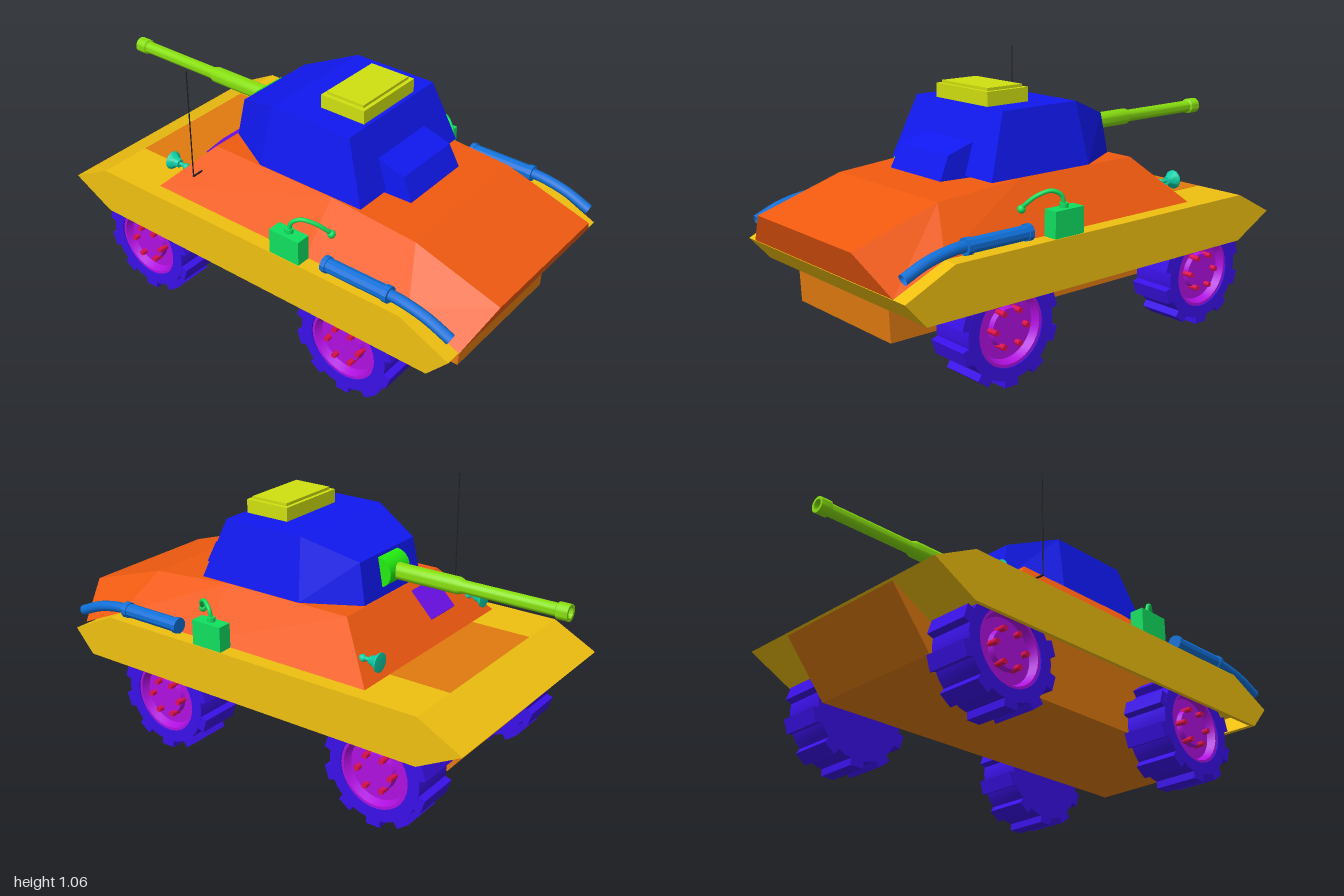
import * as THREE from 'three';
import { toCreasedNormals } from 'three/addons/utils/BufferGeometryUtils.js';

const mat = (color) => new THREE.MeshStandardMaterial({ color });
const M = {
  deck: mat(0xf0c010), hull: mat(0xf05a10), chassis: mat(0xe07a10), turret: mat(0x1018f0),
  gun: mat(0x88e010), mantlet: mat(0x22ee11), hatch: mat(0xd0e010), tyre: mat(0x3a10e8),
  hub: mat(0xb010e0), bolt: mat(0xe01050), exhaust: mat(0x1070d8), box: mat(0x10e060),
  lamp: mat(0x10d0a8), plate: mat(0x7010f0), antenna: mat(0x222222),
};
const V = (x, y, z) => new THREE.Vector3(x, y, z);

function add(parent, name, geo, material, x = 0, y = 0, z = 0) {
  const mesh = new THREE.Mesh(geo, material);
  mesh.name = name;
  mesh.position.set(x, y, z);
  parent.add(mesh);
  return mesh;
}

// Side profile of [z, y] points, extruded symmetrically across x
function extrudeX(points, width) {
  const shape = new THREE.Shape(points.map(([z, y]) => new THREE.Vector2(z, y)));
  return new THREE.ExtrudeGeometry(shape, { depth: width, bevelEnabled: false })
    .translate(0, 0, -width / 2).rotateY(-Math.PI / 2);
}

// Faceted armour from trapezoid sections ordered -z to +z: [baseX, baseY, baseZ, topX, topY, topZ]
function armour(sections) {
  const pos = [];
  const rings = sections.map(([bx, by, bz, tx, ty, tz]) =>
    [[-bx, by, bz], [-tx, ty, tz], [tx, ty, tz], [bx, by, bz]]);
  const quad = (a, b, c, d) => pos.push(...a, ...b, ...c, ...a, ...c, ...d);
  for (let i = 0; i < rings.length - 1; i++) {
    const r = rings[i], n = rings[i + 1];
    for (let k = 0; k < 4; k++) quad(r[k], n[k], n[(k + 1) % 4], r[(k + 1) % 4]);
  }
  quad(...rings[0]);
  quad(...rings[rings.length - 1].slice().reverse());
  const geo = new THREE.BufferGeometry();
  geo.setAttribute('position', new THREE.Float32BufferAttribute(pos, 3));
  geo.computeVertexNormals();
  return geo;
}

// Turned part from [radius, height] points with crisp edges
const turned = (points, segments = 24) => toCreasedNormals(
  new THREE.LatheGeometry(points.map(([r, h]) => new THREE.Vector2(r, h)), segments), 0.6);

const tube = (points, r, segments = 20) =>
  new THREE.TubeGeometry(new THREE.CatmullRomCurve3(points), segments, r, 10);

// Wheel with its axle along x and outer face towards +x
function makeWheel() {
  const wheel = new THREE.Group();
  wheel.name = 'wheel';
  add(wheel, 'tyre', turned([[0, -0.09], [0.19, -0.09], [0.19, 0.09], [0.143, 0.09], [0.143, 0.05]], 30)
    .rotateZ(-Math.PI / 2), M.tyre);
  add(wheel, 'hub', turned([[0.145, 0.05], [0.145, 0.085], [0.132, 0.085], [0.12, 0.055],
    [0.075, 0.055], [0.07, 0.075], [0, 0.075]], 30).rotateZ(-Math.PI / 2), M.hub);
  for (let i = 0; i < 10; i++) {
    const a = (i / 10) * Math.PI * 2;
    const lug = add(wheel, 'treadLug', new THREE.BoxGeometry(0.178, 0.04, 0.058), M.tyre,
      0, -0.195 * Math.cos(a), -0.195 * Math.sin(a));
    lug.rotation.x = a;
  }
  for (let i = 0; i < 6; i++) {
    const a = (i / 6) * Math.PI * 2;
    add(wheel, 'wheelBolt', new THREE.CylinderGeometry(0.011, 0.011, 0.045, 8).rotateZ(Math.PI / 2),
      M.bolt, 0.075, 0.07 * Math.sin(a), 0.07 * Math.cos(a));
  }
  return wheel;
}

export function createModel() {
  const model = new THREE.Group();
  model.name = 'armouredCar';

  // Chassis tub
  add(model, 'chassis', extrudeX([[0.845, 0.195], [0.85, 0.32], [0.9, 0.4], [0.71, 0.49],
    [0.7, 0.506], [-0.707, 0.506], [-0.884, 0.409], [-0.71, 0.195]], 0.588), M.chassis);

  // Fender deck: folded plate, open below, with side skirts
  const fender = [[0.85, 0.315], [0.935, 0.41], [0.73, 0.505], [-0.71, 0.505], [-0.89, 0.41], [-0.71, 0.315]];
  const inner = [[-0.69, 0.315], [-0.86, 0.41], [-0.705, 0.49], [0.725, 0.49], [0.905, 0.41], [0.83, 0.315]];
  add(model, 'fenderDeck', extrudeX([...fender, ...inner], 0.998), M.deck);
  for (const s of [1, -1]) add(model, 'fenderSkirt', extrudeX(fender, 0.015), M.deck, s * 0.5055);

  // Sloped upper hull
  add(model, 'upperHull', armour([
    [0.455, 0.507, -0.46, 0.31, 0.69, -0.28],
    [0.455, 0.507, 0.28, 0.31, 0.69, 0.28],
    [0.455, 0.507, 0.73, 0.31, 0.66, 0.65],
    [0.455, 0.415, 0.94, 0.31, 0.55, 1.0]]), M.hull);

  // Turret, rear stowage box and hatch
  add(model, 'turret', armour([
    [0.19, 0.69, -0.275, 0.18, 0.85, -0.245],
    [0.307, 0.69, -0.06, 0.26, 0.93, -0.035],
    [0.307, 0.69, 0.41, 0.26, 0.93, 0.32]]), M.turret);
  add(model, 'turretRearBox', armour([
    [0.155, 0.68, 0.3, 0.145, 0.81, 0.34],
    [0.155, 0.68, 0.36, 0.145, 0.81, 0.36],
    [0.155, 0.685, 0.522, 0.147, 0.773, 0.48]]), M.turret);
  add(model, 'hatch', new THREE.BoxGeometry(0.308, 0.055, 0.195), M.hatch, 0, 0.957, 0.207);
  add(model, 'hatchLid', new THREE.BoxGeometry(0.275, 0.015, 0.165), M.hatch, 0, 0.988, 0.207);

  // Gun pointing to -z
  add(model, 'mantlet', new THREE.CylinderGeometry(0.06, 0.06, 0.13, 24).rotateZ(Math.PI / 2),
    M.mantlet, 0, 0.778, -0.245);
  add(model, 'gunBarrel', turned([[0.033, 0], [0.033, 0.28], [0.025, 0.3], [0.025, 0.67], [0.032, 0.675],
    [0.032, 0.72], [0.02, 0.72], [0.02, 0.64], [0, 0.64]]).rotateX(-Math.PI / 2), M.gun, 0, 0.776, -0.28);

  // Vision plate on the sloped glacis
  const plate = add(model, 'visionPlate', new THREE.BoxGeometry(0.155, 0.014, 0.135), M.plate,
    -0.163, 0.624, -0.355);
  plate.rotation.x = -0.8;

  // Antenna with short bracket
  add(model, 'antenna', new THREE.CylinderGeometry(0.0025, 0.0025, 0.455, 6), M.antenna, -0.424, 0.828, -0.3);
  add(model, 'antennaBracket', new THREE.CylinderGeometry(0.004, 0.004, 0.05, 6).rotateZ(Math.PI / 2),
    M.antenna, -0.401, 0.602, -0.3);

  for (const s of [1, -1]) {
    // Wheels
    for (const z of [0.475, -0.525]) {
      const wheel = makeWheel();
      wheel.position.set(s * 0.4, 0.215, z);
      if (s < 0) wheel.rotation.y = Math.PI;
      model.add(wheel);
    }

    // Headlamp and stalk
    add(model, 'headlamp', turned([[0, 0], [0.016, 0], [0.022, 0.02], [0.036, 0.036], [0.037, 0.042], [0, 0.045]], 16)
      .rotateX(-Math.PI / 2), M.lamp, s * 0.37, 0.582, -0.425);
    add(model, 'headlampStalk', new THREE.CylinderGeometry(0.008, 0.008, 0.05, 8).rotateX(Math.PI / 2),
      M.lamp, s * 0.37, 0.582, -0.405);
    add(model, 'headlampFoot', new THREE.SphereGeometry(0.015, 12, 8), M.lamp, s * 0.37, 0.58, -0.392);

    // Side box with cable into the hull
    add(model, 'sideBox', new THREE.BoxGeometry(0.058, 0.1, 0.135), M.box, s * 0.481, 0.555, 0.222);
    add(model, 'cableSocket', new THREE.CylinderGeometry(0.016, 0.016, 0.02, 12), M.box, s * 0.478, 0.612, 0.222);
    add(model, 'cable', tube([V(s * 0.478, 0.61, 0.222), V(s * 0.476, 0.65, 0.232), V(s * 0.46, 0.668, 0.265),
      V(s * 0.43, 0.65, 0.31), V(s * 0.405, 0.622, 0.335), V(s * 0.38, 0.595, 0.345)], 0.008, 28), M.box);
    add(model, 'cablePlug', new THREE.SphereGeometry(0.016, 12, 8), M.box, s * 0.388, 0.6, 0.343);

    // Exhaust silencer with end collars and drooping tailpipe
    add(model, 'silencer', turned([[0, 0], [0.032, 0], [0.032, 0.02], [0.028, 0.02], [0.028, 0.262],
      [0.032, 0.262], [0.032, 0.285], [0, 0.285]], 10).rotateX(Math.PI / 2), M.exhaust, s * 0.48, 0.545, 0.385);
    const pipe = add(model, 'tailpipe', tube([V(s * 0.48, 0.547, 0.65), V(s * 0.48, 0.543, 0.72),
      V(s * 0.48, 0.522, 0.82), V(s * 0.48, 0.482, 0.918)], 0.021), M.exhaust);
    pipe.material = M.exhaust.clone();
    pipe.material.side = THREE.DoubleSide;
  }
  return model;
}
